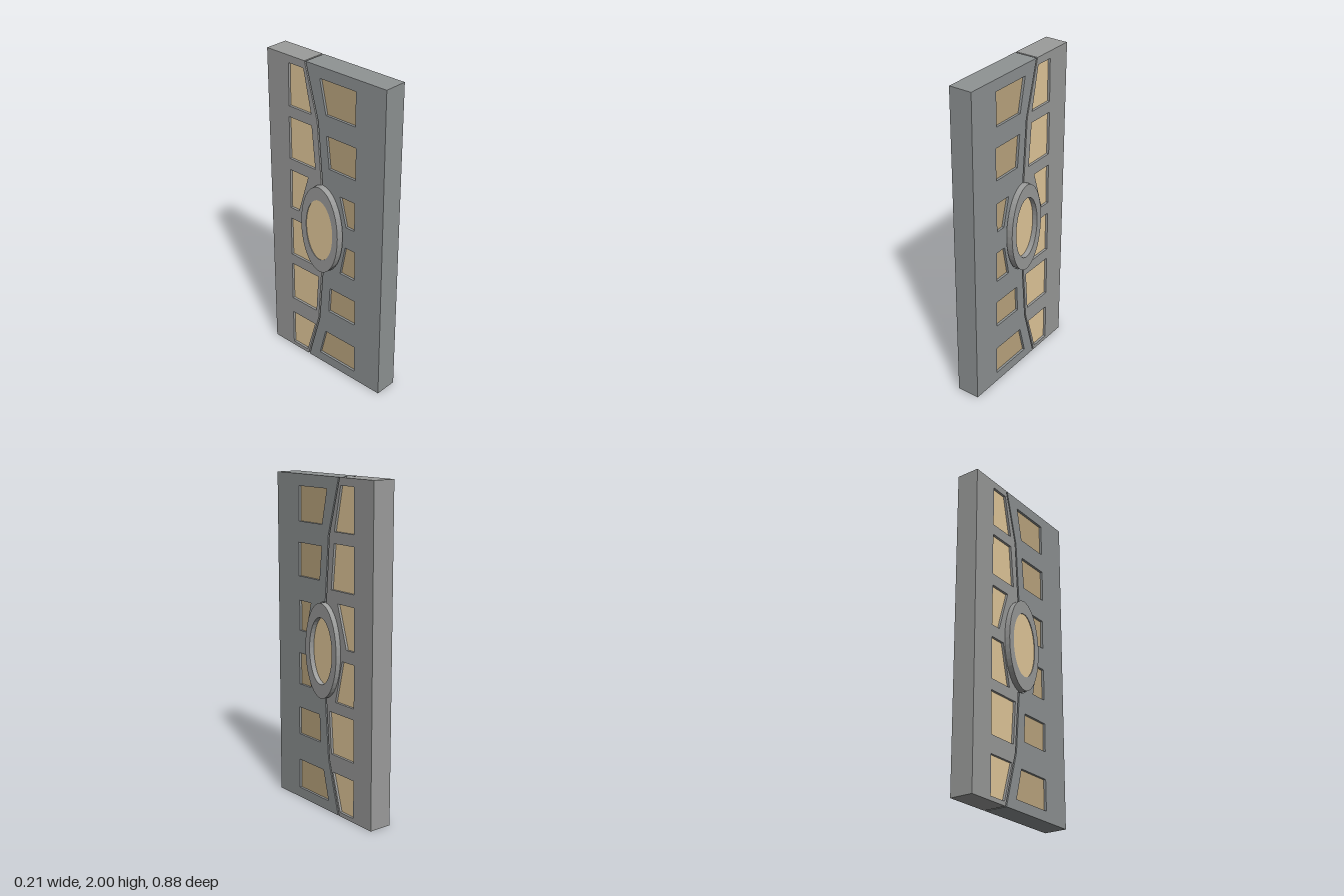
import * as THREE from 'three';

// Profiles are drawn as [-z, y] and extruded along x.
const OVAL = { u: 0.013, y: 0.991, ru: 0.145, ry: 0.286 };

function arc(ru, ry, from, to, n = 24) {
  return Array.from({ length: n + 1 }, (_, i) => {
    const a = from + (to - from) * i / n;
    return new THREE.Vector2(OVAL.u + ru * Math.cos(a), OVAL.y + ry * Math.sin(a));
  });
}
const points = list => list.map(([u, y]) => new THREE.Vector2(u, y));

// One slab between two x planes, with optional holes
function slab(name, outline, holes, x0, x1, color) {
  const shape = new THREE.Shape(outline);
  for (const h of holes) shape.holes.push(new THREE.Path(h));
  const geo = new THREE.ExtrudeGeometry(shape, { depth: x1 - x0, bevelEnabled: false });
  geo.translate(0, 0, x0).rotateY(Math.PI / 2);
  const mesh = new THREE.Mesh(geo, new THREE.MeshStandardMaterial({ color, flatShading: true }));
  mesh.name = name;
  return mesh;
}

// Four-sided window: two edges at u0 (bottom, top) and two at u1
const quad = (b, t, u0b, u1b, u1t, u0t) => points([[u0b, b], [u1b, b], [u1t, t], [u0t, t]]);

const frontWindows = [
  quad(1.725, 1.93, -0.23, 0.013, -0.032 + 0.064, -0.23),
  quad(1.4, 1.6, -0.235, -0.037, -0.016, -0.235),
  quad(1.07, 1.253, -0.23, -0.167, -0.12, -0.23),
  quad(0.735, 0.93, -0.235, -0.122, -0.161, -0.235),
  quad(0.415, 0.587, -0.24, -0.03, -0.04, -0.24),
  quad(0.063, 0.248, -0.243, 0.045, -0.003, -0.24),
];
frontWindows[0][1].x = -0.013;

const rearWindows = [
  quad(1.695, 1.955, 0.1, 0.273, 0.271, 0.156),
  quad(1.36, 1.627, 0.072, 0.275, 0.275, 0.098),
  quad(1.03, 1.286, 0.21, 0.278, 0.275, 0.13),
  quad(0.698, 0.955, 0.111, 0.278, 0.278, 0.172),
  quad(0.37, 0.63, 0.074, 0.278, 0.278, 0.055),
  quad(0.026, 0.26, 0.156, 0.278, 0.278, 0.087),
];

function leaf(name, outline, windows, color, glassColor) {
  const g = new THREE.Group();
  g.name = name;
  g.add(slab(name + 'Panel', outline, windows, -0.072, 0.072, color));
  // Recessed panes
  windows.forEach(w => g.add(slab(name + 'Window', w, [], -0.057, 0.057, glassColor)));
  return g;
}

export function createModel() {
  const model = new THREE.Group();
  model.name = 'doubleDoor';
  const H = Math.PI / 2;

  // Front leaf, bitten out around the oval
  const frontOutline = [
    ...points([[-0.44, 0], [0.137, 0], [0.045, 0.33], [0.015, 0.7]]),
    ...arc(0.153, 0.289, -H, -3 * H),
    ...points([[0.015, 1.28], [0.045, 1.67], [0.137, 2], [-0.44, 2]]),
  ];
  model.add(leaf('frontLeaf', frontOutline, frontWindows, 0x8f9394, 0xbda780));

  // Rear leaf, which carries the oval porthole
  const rearOutline = [
    ...points([[0.147, 0], [0.437, 0], [0.437, 2], [0.147, 2], [0.055, 1.67], [0.026, 1.27]]),
    ...arc(0.125, 0.245, H * 0.95, -H * 0.95),
    ...points([[0.026, 0.71], [0.055, 0.33]]),
  ];
  const rear = leaf('rearLeaf', rearOutline, rearWindows, 0x9b9c9b, 0xe4ca9c);
  model.add(rear);

  // Porthole ring and its pane
  const full = (ru, ry) => arc(ru, ry, 0, Math.PI * 2, 40).slice(0, -1);
  const hole = full(0.105, 0.201);
  rear.add(slab('portholeRing', full(OVAL.ru, OVAL.ry), [hole], -0.107, 0.105, 0x9b9c9b));
  rear.add(slab('portholeWindow', hole, [], -0.103, 0.073, 0xe4ca9c));
  return model;
}
